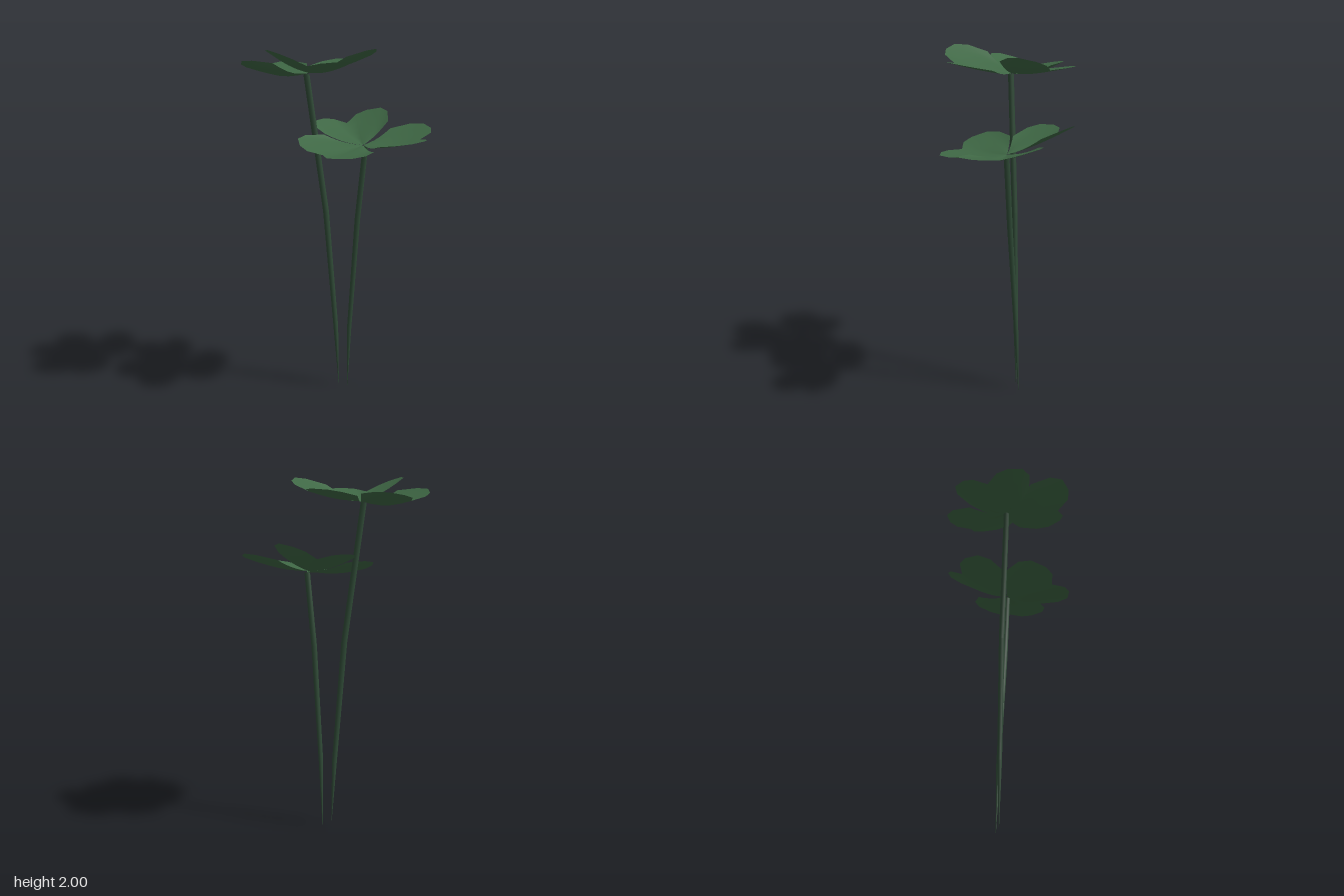
import * as THREE from 'three';

const leafMaterial = new THREE.MeshStandardMaterial({ color: 0x3f6845, side: THREE.DoubleSide });
const stemMaterial = new THREE.MeshStandardMaterial({ color: 0x2f4a36 });

// One half of the heart outline: [outward, sideways]
const HALF = [[0.12, 0.185], [0.228, 0.22], [0.305, 0.203], [0.358, 0.132], [0.366, 0.07]];
const OUTLINE = [
  ...HALF.map(([u, v]) => [u, -v]),
  [0.318, 0],
  ...HALF.slice().reverse(),
];

function geometryFrom(positions, indices) {
  const geometry = new THREE.BufferGeometry();
  geometry.setAttribute('position', new THREE.Float32BufferAttribute(positions, 3));
  geometry.setIndex(indices);
  geometry.computeVertexNormals();
  return geometry;
}

// Heart-shaped leaflet, folded along its midrib: each side lifts by its own slope
function makeLeaflet({ angle, rise, liftA, liftB, sag = 0.012, length = 1 }) {
  const steps = 5, cols = OUTLINE.length;
  const c = Math.cos(angle * Math.PI / 180), s = Math.sin(angle * Math.PI / 180);
  const positions = [], indices = [];
  for (let i = 0; i <= steps; i++) {
    const t = 0.02 + 0.98 * i / steps;
    for (const [pu, pv] of OUTLINE) {
      const u = pu * t * length, v = pv * t;
      const y = rise * u + (v < 0 ? liftA : liftB) * Math.abs(v) - sag * Math.sin(Math.PI * t);
      positions.push(u * c - v * s, y, u * s + v * c);
    }
  }
  for (let i = 0; i < steps; i++) {
    for (let j = 0; j < cols - 1; j++) {
      const a = i * cols + j, b = a + cols;
      indices.push(a, a + 1, b, a + 1, b + 1, b);
    }
  }
  const mesh = new THREE.Mesh(geometryFrom(positions, indices), leafMaterial);
  mesh.name = 'leaflet';
  return mesh;
}

// Tapered stem lofted through rings [x, y, z, radius]
function makeStem(rings) {
  const sides = 8, positions = [], indices = [];
  for (const [x, y, z, r] of rings) {
    for (let k = 0; k < sides; k++) {
      const a = k / sides * Math.PI * 2;
      positions.push(x + r * Math.cos(a), y, z + r * Math.sin(a));
    }
  }
  for (let i = 0; i < rings.length - 1; i++) {
    for (let k = 0; k < sides; k++) {
      const n = (k + 1) % sides;
      const a = i * sides + k, b = i * sides + n;
      indices.push(a, a + sides, b, b, a + sides, b + sides);
    }
  }
  // Cap on the upper end
  const top = (rings.length - 1) * sides;
  for (let k = 1; k < sides - 1; k++) indices.push(top, top + k + 1, top + k);
  const mesh = new THREE.Mesh(geometryFrom(positions, indices), stemMaterial);
  mesh.name = 'stem';
  return mesh;
}

function makeClover(name, center, rings, leaflets) {
  const clover = new THREE.Group();
  clover.name = name;
  clover.add(makeStem(rings));
  const head = new THREE.Group();
  head.name = 'leafHead';
  head.position.set(...center);
  leaflets.forEach((leaflet) => head.add(makeLeaflet(leaflet)));
  clover.add(head);
  return clover;
}

export function createModel() {
  const model = new THREE.Group();
  model.name = 'cloverPair';

  model.add(makeClover('tallClover', [-0.14, 1.862, -0.06], [
    [0.022, 0.02, -0.042, 0.001],
    [0.005, 0.38, -0.045, 0.014],
    [-0.05, 1.08, -0.053, 0.017],
    [-0.155, 1.855, -0.06, 0.017],
  ], [
    { angle: 217.6, rise: 0.0, liftA: 0.33, liftB: 0.2, sag: 0.024 },
    { angle: 336, rise: 0.16, liftA: 0.03, liftB: 0.4 },
    { angle: 100, rise: 0.19, liftA: 0.1, liftB: 0.41 },
  ]));

  model.add(makeClover('shortClover', [0.143, 1.472, 0.045], [
    [0.074, 0.0, -0.042, 0.001],
    [0.082, 0.38, -0.026, 0.013],
    [0.118, 1.05, 0.023, 0.016],
    [0.155, 1.465, 0.052, 0.016],
  ], [
    { angle: 23, rise: 0.14, liftA: 0.3, liftB: 0.03 },
    { angle: 143, rise: -0.05, liftA: 0.02, liftB: 0.32 },
    { angle: 263, rise: 0.28, liftA: 0.12, liftB: 0.43, length: 0.94 },
  ]));

  return model;
}
